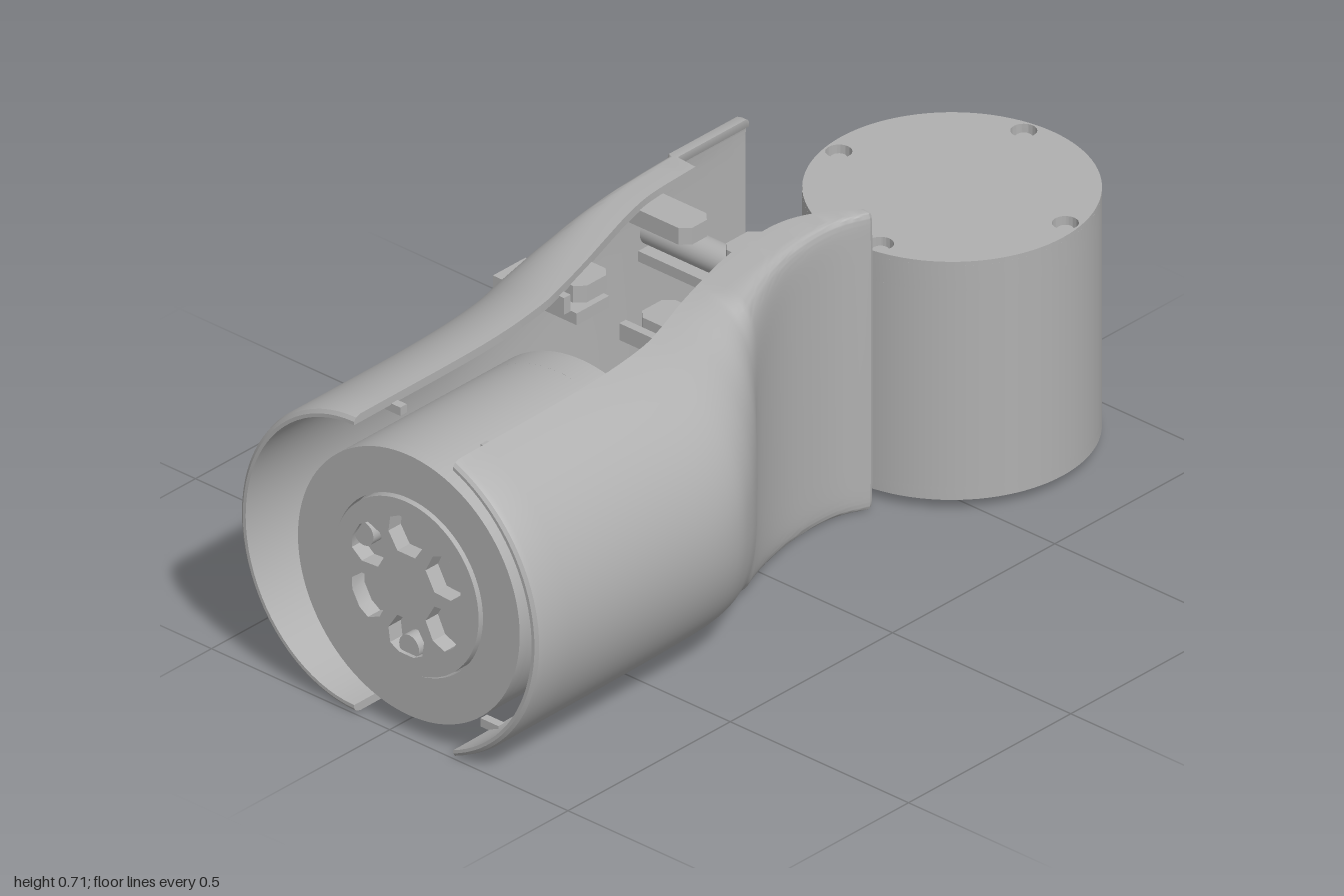
import * as THREE from 'three';
import { toCreasedNormals } from 'three/addons/utils/BufferGeometryUtils.js';

const grey = new THREE.MeshStandardMaterial({ color: 0xb0b0b0 });
grey.name = 'plain grey';

const MID = 0.357, HALF = 0.355, WALL = 0.02;

function add(parent, geometry, name, x = 0, y = 0, z = 0) {
  const mesh = new THREE.Mesh(geometry, grey);
  mesh.name = name;
  mesh.position.set(x, y, z);
  parent.add(mesh);
  return mesh;
}

// Box given by its limits
function block(parent, name, x0, x1, y0, y1, z0, z1) {
  return add(parent, new THREE.BoxGeometry(x1 - x0, y1 - y0, z1 - z0), name,
    (x0 + x1) / 2, (y0 + y1) / 2, (z0 + z1) / 2);
}

// Slab whose outline lies in x,z, between two heights
function slab(shape, y0, y1) {
  const g = new THREE.ExtrudeGeometry(shape, { depth: y1 - y0, bevelEnabled: false, curveSegments: 48 });
  g.rotateX(Math.PI / 2).translate(0, y1, 0);
  return toCreasedNormals(g, 0.5);
}

const disc = (r, x = 0, y = 0, Type = THREE.Shape) => {
  const s = new Type();
  s.absarc(x, y, r, 0, Math.PI * 2, false);
  return s;
};

// Motor: axis along y, output face at the bottom, screws and ports at the top
function motor(name, length) {
  const g = new THREE.Group();
  g.name = name;
  const R = 0.311, deg = Math.PI / 180;
  const body = new THREE.CylinderGeometry(R, R, length - 0.1, 96);
  add(g, body, 'motorBody', 0, 0.03 + (length - 0.1) / 2, 0);

  // Back cover with two side ports and four screw holes
  const band = new THREE.Shape();
  const ports = [-145, -55];
  band.absarc(0, 0, R, -42 * deg, 202 * deg, false);
  band.absarc(0, 0, R - 0.03, -158 * deg, -132 * deg, false);
  band.absarc(0, 0, R, -132 * deg, -68 * deg, false);
  band.absarc(0, 0, R - 0.03, -68 * deg, -42 * deg, false);
  const cap = disc(R);
  for (const a of [-100, -10, 80, 170]) {
    const x = 0.278 * Math.cos(a * deg), z = 0.278 * Math.sin(a * deg);
    if (!ports.includes(a)) cap.holes.push(disc(0.028, x, z, THREE.Path));
    band.holes.push(disc(0.028, x, z, THREE.Path));
    add(g, new THREE.CylinderGeometry(0.018, 0.018, 0.055, 20), 'screw', x, length - 0.0425, z);
    add(g, new THREE.CylinderGeometry(0.028, 0.028, 0.045, 20), 'screwSeat', x, length - 0.0475, z);
  }
  add(g, slab(band, length - 0.07, length - 0.01), 'portBand');
  add(g, slab(cap, length - 0.01, length), 'backCover');

  // Face rim and hub with six pockets
  const rim = disc(R);
  rim.holes.push(disc(0.208, 0, 0, THREE.Path));
  add(g, slab(rim, 0, 0.03), 'faceRim');
  const hub = disc(0.203);
  const outline = [[0.077, -0.025], [0.115, -0.05], [0.15, -0.045], [0.163, -0.02],
    [0.163, 0.02], [0.15, 0.045], [0.115, 0.05], [0.077, 0.025]];
  for (let i = 0; i < 6; i++) {
    const a = (30 + i * 60) * deg, c = Math.cos(a), s = Math.sin(a);
    hub.holes.push(new THREE.Path(outline.map(([r, w]) => new THREE.Vector2(r * c - w * s, r * s + w * c))));
    if (i % 2 === 0) {
      add(g, new THREE.CylinderGeometry(0.028, 0.028, 0.03, 24), 'hubBoss', 0.148 * c, 0.016, 0.148 * s);
    }
  }
  add(g, slab(hub, -0.008, 0.03), 'outputHub');
  return g;
}

// Shell lofted along z. Station: z, edge x, outermost x, squareness, arc fullness
function shell(name, s, stations, tail) {
  const a = new THREE.CatmullRomCurve3(stations.map(p => new THREE.Vector3(p[0], p[1], p[2])), false, 'catmullrom');
  const b = new THREE.CatmullRomCurve3(stations.map(p => new THREE.Vector3(p[0], p[3], p[4])), false, 'catmullrom');
  const rows = [], steps = (stations.length - 1) * 5;
  for (let i = 0; i <= steps; i++) {
    const p = a.getPoint(i / steps), q = b.getPoint(i / steps);
    rows.push([p.x, p.y, p.z, q.y, Math.min(q.z, 1), 0]);
  }
  for (const t of tail) rows.push([...t, 0]);
  // Rounded lips at both ends
  const first = rows[0], last = rows[rows.length - 1];
  rows.unshift([first[0] + 0.02, ...first.slice(1, 5), 0.012], [first[0] + 0.014, ...first.slice(1, 5), 0.004]);
  rows.push([last[0] - 0.008, ...last.slice(1, 5), 0.003], [last[0] - 0.012, ...last.slice(1, 5), 0.01]);

  const N = 40, M = 2 * (N + 1), pos = [], idx = [];
  for (const [z, xi, xo, n, k, inset] of rows) {
    const c = k < 1 ? Math.pow(1 - Math.pow(k, n), 1 / n) : 0;
    const tMax = Math.asin(Math.pow(k, n / 2));
    const point = (j, h, depth) => {
      const t = tMax * (2 * j / N - 1);
      const v = Math.sign(t) * Math.pow(Math.abs(Math.sin(t)), 2 / n) / k;
      const f = (Math.pow(Math.max(Math.cos(t), 0), 2 / n) - c) / (1 - c);
      pos.push(xi + s * depth * f, MID + h * v, z);
    };
    const depth = Math.abs(xo - xi);
    for (let j = 0; j <= N; j++) point(j, HALF - inset, depth - inset);
    for (let j = N; j >= 0; j--) point(j, HALF - WALL, Math.max(depth - WALL, 0.003));
  }
  const quad = (p, q, r, t) => s > 0 ? idx.push(p, q, r, p, r, t) : idx.push(p, r, q, p, t, r);
  for (let i = 0; i < rows.length - 1; i++) {
    for (let j = 0; j < M; j++) {
      const k = (j + 1) % M;
      quad(i * M + j, (i + 1) * M + j, (i + 1) * M + k, i * M + k);
    }
  }
  const e = (rows.length - 1) * M;
  for (let j = 0; j < N; j++) {
    quad(j, j + 1, M - 2 - j, M - 1 - j);
    quad(e + j, e + M - 1 - j, e + M - 2 - j, e + j + 1);
  }
  const g = new THREE.BufferGeometry();
  g.setAttribute('position', new THREE.Float32BufferAttribute(pos, 3));
  g.setIndex(idx);
  const group = new THREE.Group();
  group.name = name;
  add(group, toCreasedNormals(g, 0.6), name + 'Wall');
  return group;
}

// Tab with clipped free corners, repeated at top and bottom
function tabs(parent, x0, x1, z0, z1, s) {
  const c = 0.02, free = s > 0 ? x0 : x1, root = s > 0 ? x1 : x0;
  const shape = new THREE.Shape([[root, z0], [free + s * c, z0], [free, z0 + c], [free, z1 - c],
    [free + s * c, z1], [root, z1]].map(p => new THREE.Vector2(...p)));
  add(parent, slab(shape, 0.655, 0.695), 'upperTab');
  add(parent, slab(shape, 0.019, 0.059), 'lowerTab');
}

// Block repeated at top and bottom
function pair(parent, name, x0, x1, y0, y1, z0, z1) {
  block(parent, name, x0, x1, y0, y1, z0, z1);
  block(parent, name, x0, x1, 2 * MID - y1, 2 * MID - y0, z0, z1);
}

export function createModel() {
  const model = new THREE.Group();
  model.name = 'jointAssembly';

  // Motors: one upright at the back, one lying along z
  const upright = motor('uprightMotor', 0.57);
  upright.position.set(0.04, 0.027, -0.689);
  const lying = motor('lyingMotor', 0.535);
  lying.rotation.x = -Math.PI / 2;
  lying.position.set(0.04, MID, 0.985);
  model.add(upright, lying);

  // Shell on the -x side, ending in a flat plate
  const plateShell = shell('plateShell', -1, [
    [0.98, -0.1, -0.424, 2, 1], [0.6, -0.104, -0.425, 2, 1], [0.4, -0.125, -0.424, 2.1, 1],
    [0.3, -0.15, -0.417, 2.4, 1], [0.2, -0.18, -0.403, 3, 1], [0.1, -0.213, -0.386, 4, 1],
    [0, -0.245, -0.37, 6, 1], [-0.1, -0.268, -0.362, 9, 1], [-0.245, -0.276, -0.36, 13, 1],
  ], [[-0.25, -0.33, -0.36, 14, 1], [-0.458, -0.33, -0.36, 14, 1]]);
  model.add(plateShell);

  // Shell on the +x side, curling around the upright motor
  const curvedShell = shell('curvedShell', 1, [
    [0.98, 0.178, 0.418, 2, 0.93], [0.6, 0.17, 0.419, 2, 0.93], [0.4, 0.15, 0.414, 2.1, 0.94],
    [0.3, 0.122, 0.376, 2.5, 0.96], [0.2, 0.085, 0.302, 3.2, 0.99], [0.1, 0.053, 0.212, 5, 1],
    [0, 0.025, 0.152, 8, 1], [-0.1, 0.009, 0.115, 12, 1], [-0.2, 0.01, 0.1, 14, 1],
    [-0.28, 0.042, 0.103, 14, 1], [-0.345, 0.095, 0.125, 14, 1],
  ], []);
  model.add(curvedShell);

  // Locating tabs and ribs inside the shells
  tabs(plateShell, -0.3, -0.13, -0.14, -0.055, -1);
  tabs(plateShell, -0.24, -0.13, 0.17, 0.27, -1);
  pair(plateShell, 'thinRib', -0.22, -0.13, 0.655, 0.695, 0.3, 0.32);
  pair(plateShell, 'frontNub', -0.14, -0.075, 0.675, 0.695, 0.865, 0.885);
  pair(plateShell, 'rearRib', -0.35, -0.1, 0.45, 0.53, -0.25, -0.22);
  pair(plateShell, 'rearShelf', -0.35, -0.1, 0.505, 0.53, -0.25, -0.14);
  pair(plateShell, 'middleShelf', -0.375, -0.14, 0.605, 0.633, 0.17, 0.27);
  for (const y of [0.568, 2 * MID - 0.568]) {
    const post = add(plateShell, new THREE.CylinderGeometry(0.035, 0.035, 0.25, 32), 'screwPost', -0.225, y, -0.18);
    post.rotation.z = Math.PI / 2;
  }

  tabs(curvedShell, -0.035, 0.06, -0.16, -0.055, 1);
  tabs(curvedShell, 0.025, 0.16, 0.17, 0.27, 1);
  pair(curvedShell, 'thinRib', 0.025, 0.16, 0.655, 0.695, 0.3, 0.32);
  pair(curvedShell, 'frontNub', 0.15, 0.2, 0.675, 0.695, 0.865, 0.885);
  pair(curvedShell, 'rearPin', -0.035, 0.09, 0.555, 0.58, -0.21, -0.185);
  return model;
}
